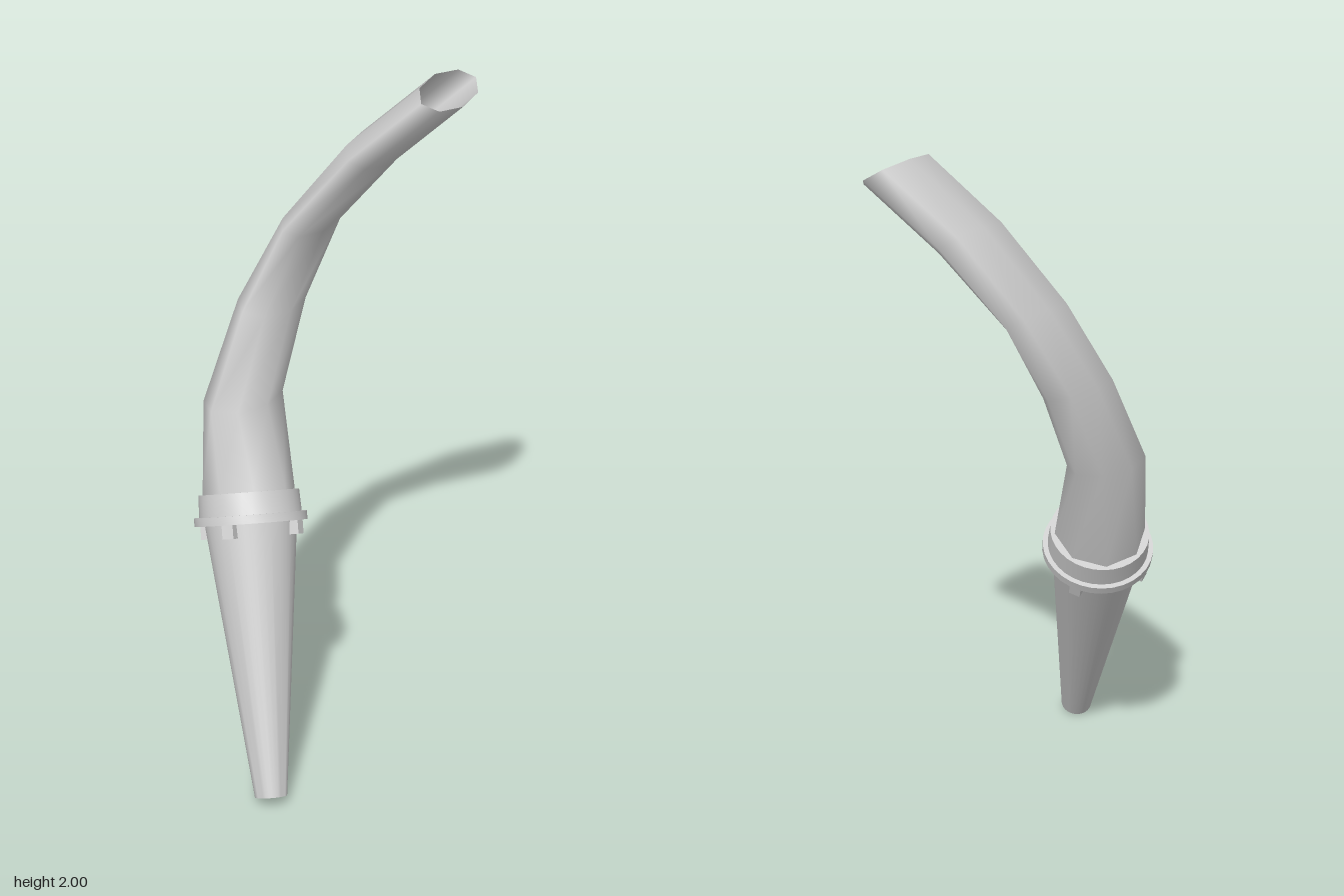
import * as THREE from 'three';
import { toCreasedNormals } from 'three/addons/utils/BufferGeometryUtils.js';

const V = (x, y, z) => new THREE.Vector3(x, y, z);
const material = new THREE.MeshStandardMaterial({ color: 0xcccccc, side: THREE.DoubleSide });

function addMesh(parent, name, geometry) {
  const mesh = new THREE.Mesh(geometry, material);
  mesh.name = name;
  parent.add(mesh);
  return mesh;
}

// Solid of revolution with sharp profile corners
function turned(profile, segments) {
  const points = profile.map(([r, h]) => new THREE.Vector2(r, h));
  return toCreasedNormals(new THREE.LatheGeometry(points, segments), 0.6);
}

// Smooth open tube through elliptical sections { c: centre, u, v: half axes }
function loft(sections, sides) {
  const positions = [], index = [];
  sections.forEach(({ c, u, v }, row) => {
    for (let i = 0; i < sides; i++) {
      const a = (i / sides) * Math.PI * 2;
      const p = c.clone().addScaledVector(u, Math.cos(a)).addScaledVector(v, Math.sin(a));
      positions.push(p.x, p.y, p.z);
      if (row === 0) continue;
      const n = (i + 1) % sides, lo = (row - 1) * sides, hi = row * sides;
      index.push(lo + i, hi + i, lo + n, lo + n, hi + i, hi + n);
    }
  });
  const geometry = new THREE.BufferGeometry();
  geometry.setAttribute('position', new THREE.Float32BufferAttribute(positions, 3));
  geometry.setIndex(index);
  geometry.computeVertexNormals();
  return geometry;
}

export function createModel() {
  const model = new THREE.Group();
  model.name = 'curvedHorn';

  // Tilted lower assembly, built upright from the narrow tip
  const tip = V(0.215, 0.024, 0.44);
  const axis = V(-0.285, 0.716, -0.25).normalize();
  const lower = new THREE.Group();
  lower.name = 'lowerAssembly';
  lower.position.copy(tip);
  lower.quaternion.setFromUnitVectors(V(0, 1, 0), axis);
  model.add(lower);

  addMesh(lower, 'taperedCone', turned([[0, 0], [0.047, 0], [0.135, 0.8]], 32));
  addMesh(lower, 'collar', turned([
    [0.13, 0.795], [0.165, 0.795], [0.165, 0.82], [0.15, 0.82],
    [0.147, 0.885], [0.125, 0.885],
  ], 32));

  // Four small lugs hanging under the collar
  for (let i = 0; i < 4; i++) {
    const a = 1.29 + (i * Math.PI) / 2;
    const lug = addMesh(lower, 'collarLug', new THREE.BoxGeometry(0.035, 0.05, 0.035));
    lug.position.set(Math.cos(a) * 0.14, 0.78, Math.sin(a) * 0.14);
    lug.rotation.y = -a;
  }

  // Bent eight-sided tube, round in the collar and flattened towards its open end
  const across = (dir) => dir.addScaledVector(axis, -dir.dot(axis)).normalize().multiplyScalar(0.135);
  const u0 = across(V(1, 0, 0));
  const v0 = u0.clone().cross(axis).setLength(0.135);
  addMesh(model, 'bentTube', loft([
    { c: tip.clone().addScaledVector(axis, 0.82), u: u0, v: v0 },
    { c: tip.clone().addScaledVector(axis, 0.89), u: u0, v: v0 },
    { c: V(-0.172, 1.07, 0.1), u: V(0.093, 0, 0), v: V(0, 0, 0.14) },
    { c: V(-0.176, 1.33, -0.035), u: V(0.071, -0.02, 0), v: V(0, 0, 0.13) },
    { c: V(-0.118, 1.56, -0.145), u: V(0.043, -0.03, 0), v: V(0, 0, 0.13) },
    { c: V(0.033, 1.78, -0.247), u: V(0.048, -0.04, 0), v: V(0.005, 0, 0.133) },
    { c: V(0.21, 1.963, -0.348), u: V(0.05, -0.037, 0), v: V(0.01, 0, 0.14) },
  ], 8));

  return model;
}
